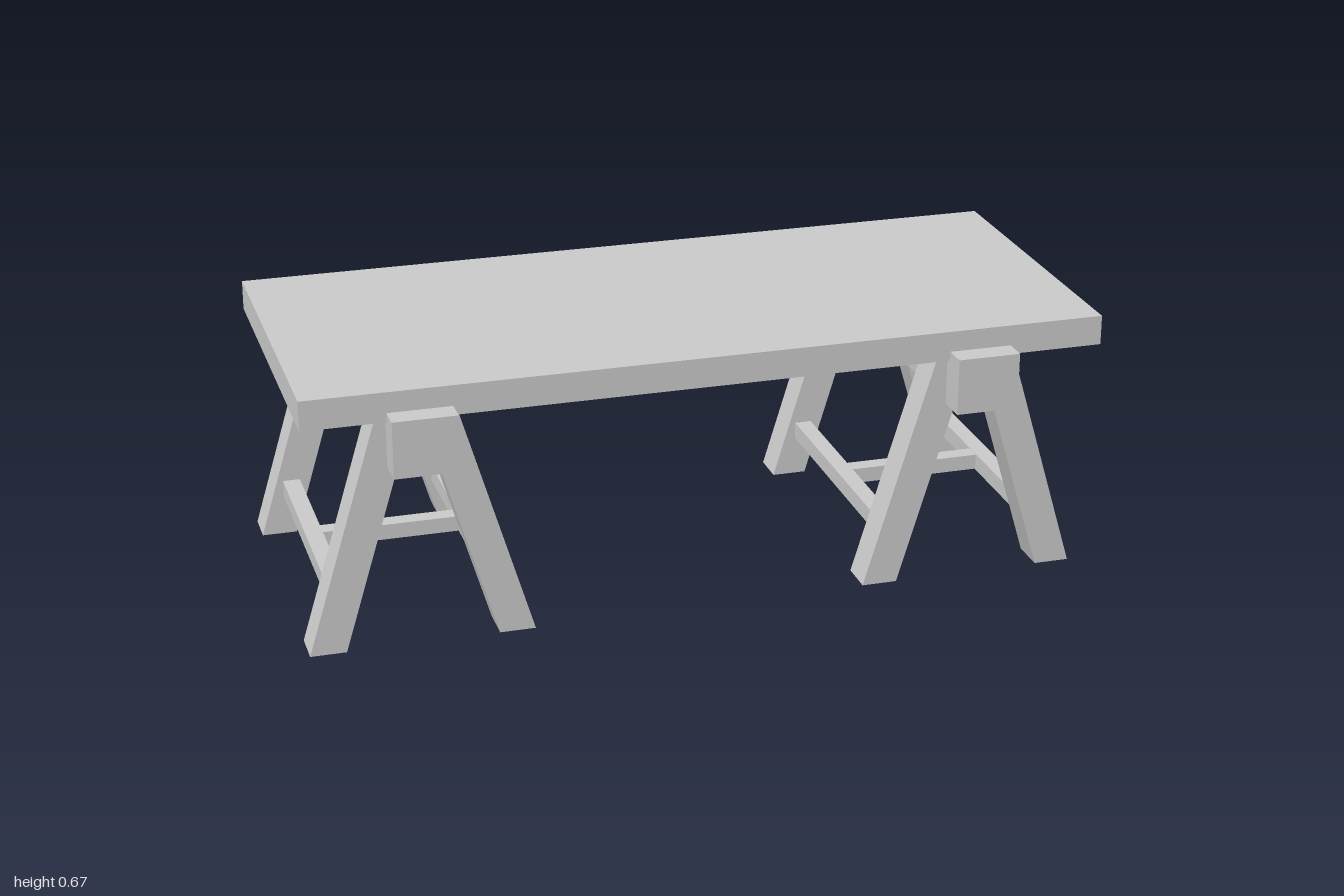
import * as THREE from 'three';

const material = new THREE.MeshStandardMaterial({ color: 0xcccccc, flatShading: true });

// Box given by its minimum and maximum corners
function box(name, [x0, y0, z0], [x1, y1, z1]) {
  const geometry = new THREE.BoxGeometry(x1 - x0, y1 - y0, z1 - z0);
  geometry.translate((x0 + x1) / 2, (y0 + y1) / 2, (z0 + z1) / 2);
  const mesh = new THREE.Mesh(geometry, material);
  mesh.name = name;
  return mesh;
}

// Slanted leg with level ends; side is -1 or 1 along x
function leg(side, z0, z1) {
  const height = 0.6, lean = 0.3 * height;
  const outline = [[0.188, 0], [0.277, 0], [0.277 - lean, height], [0.188 - lean, height]];
  const shape = new THREE.Shape(outline.map(([x, y]) => new THREE.Vector2(side * x, y)));
  const geometry = new THREE.ExtrudeGeometry(shape, { depth: z1 - z0, bevelEnabled: false });
  geometry.translate(0, 0, z0);
  const mesh = new THREE.Mesh(geometry, material);
  mesh.name = 'leg';
  return mesh;
}

function trestle(name, x) {
  const group = new THREE.Group();
  group.name = name;
  group.position.x = x;
  // Head beam carrying the top
  group.add(box('beam', [-0.073, 0.47, -0.48], [0.085, 0.613, 0.48]));
  // Two legs and a long rail on each side
  for (const side of [-1, 1]) {
    group.add(leg(side, 0.311, 0.402), leg(side, -0.405, -0.314));
    const railX = side * 0.195;
    group.add(box('rail', [railX - 0.022, 0.103, -0.32], [railX + 0.022, 0.147, 0.32]));
  }
  // Short stretcher joining the rails
  group.add(box('stretcher', [-0.19, 0.105, -0.022], [0.19, 0.145, 0.022]));
  return group;
}

export function createModel() {
  const model = new THREE.Group();
  model.name = 'trestleTable';
  model.add(box('tableTop', [-1, 0.59, -0.423], [1, 0.665, 0.42]));
  model.add(trestle('rightTrestle', -0.722), trestle('leftTrestle', 0.675));
  return model;
}
